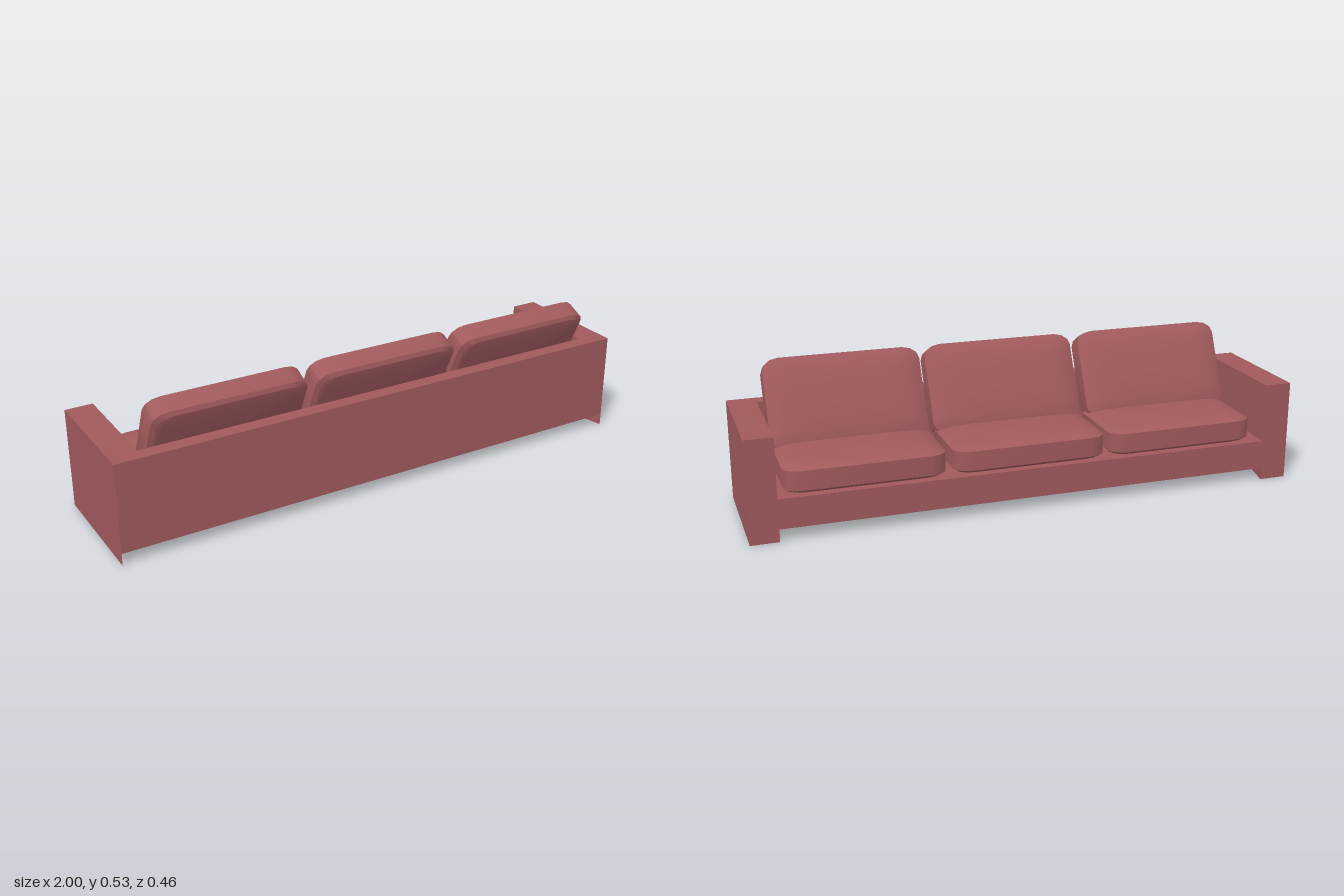
import * as THREE from 'three';
import { toCreasedNormals } from 'three/addons/utils/BufferGeometryUtils.js';

const fabric = new THREE.MeshStandardMaterial({ color: 0xa05a5d });
fabric.name = 'dusty red fabric';

// Overall sizes: depth half, floor clearance, arm top, seat deck top
const D = 0.228, CLEAR = 0.045, TOP = 0.368, DECK = 0.152;

function add(parent, name, geometry) {
  const mesh = new THREE.Mesh(geometry, fabric);
  mesh.name = name;
  parent.add(mesh);
  return mesh;
}

// Box given by its min and max corners
function block(parent, name, [x0, y0, z0], [x1, y1, z1]) {
  const mesh = add(parent, name, new THREE.BoxGeometry(x1 - x0, y1 - y0, z1 - z0));
  mesh.position.set((x0 + x1) / 2, (y0 + y1) / 2, (z0 + z1) / 2);
}

// Cushion lofted through rounded rectangles, lying flat with its crown up
function cushionGeometry(halfW, halfD) {
  const levels = [[0, 0.03], [0.003, 0.013], [0.014, 0], [0.084, 0], [0.096, 0.022], [0.103, 0.055], [0.107, 0.11]];
  const segs = 3, pos = [], index = [], n = 4 * (segs + 1);
  for (const [y, inset] of levels) {
    for (let q = 0; q < 4; q++) {
      const sx = q === 0 || q === 3 ? 1 : -1, sz = q < 2 ? -1 : 1;
      for (let s = 0; s <= segs; s++) {
        const a = (q + s / segs) * Math.PI / 2;
        pos.push(sx * (halfW - inset - 0.06) + 0.06 * Math.cos(a), y,
          sz * (halfD - inset - 0.045) - 0.045 * Math.sin(a));
      }
    }
  }
  for (let l = 0; l < levels.length - 1; l++) {
    for (let i = 0; i < n; i++) {
      const a = l * n + i, b = l * n + (i + 1) % n;
      index.push(a, b, b + n, a, b + n, a + n);
    }
  }
  const bottom = pos.length / 3, top = bottom + 1, last = (levels.length - 1) * n;
  pos.push(0, 0, 0, 0, 0.109, 0);
  for (let i = 0; i < n; i++) {
    const j = (i + 1) % n;
    index.push(bottom, j, i, top, last + i, last + j);
  }
  const g = new THREE.BufferGeometry();
  g.setAttribute('position', new THREE.Float32BufferAttribute(pos, 3));
  g.setIndex(index);
  return toCreasedNormals(g, 0.45);
}

export function createModel() {
  const sofa = new THREE.Group();
  sofa.name = 'sofa';

  // Frame
  block(sofa, 'seatBase', [-0.9, CLEAR, -D], [0.9, DECK, D - 0.053]);
  block(sofa, 'backPanel', [-0.9, CLEAR, D - 0.053], [0.9, TOP, D]);

  // Arms, each on a wedge foot that narrows towards the back panel
  for (const side of [-1, 1]) {
    const xs = [0.9 * side, side].sort((a, b) => a - b);
    block(sofa, 'arm', [xs[0], CLEAR, -D], [xs[1], TOP, D]);
    const plan = new THREE.Shape([
      new THREE.Vector2(0.9 * side, D),
      new THREE.Vector2(side, D),
      new THREE.Vector2(side, -D),
    ]);
    const foot = new THREE.ExtrudeGeometry(plan, { depth: CLEAR, bevelEnabled: false });
    add(sofa, 'foot', foot.rotateX(-Math.PI / 2));
  }

  // Seat cushions and leaning back cushions
  const cushion = cushionGeometry(0.281, 0.165);
  [-0.577, 0.005, 0.592].forEach((x) => {
    add(sofa, 'seatCushion', cushion).position.set(x, DECK, -0.05);
  });
  [-0.58, 0.014, 0.597].forEach((x) => {
    const back = add(sofa, 'backCushion', cushion);
    back.position.set(x, 0.342, 0.163);
    back.rotation.x = THREE.MathUtils.degToRad(-65);
  });

  return sofa;
}
